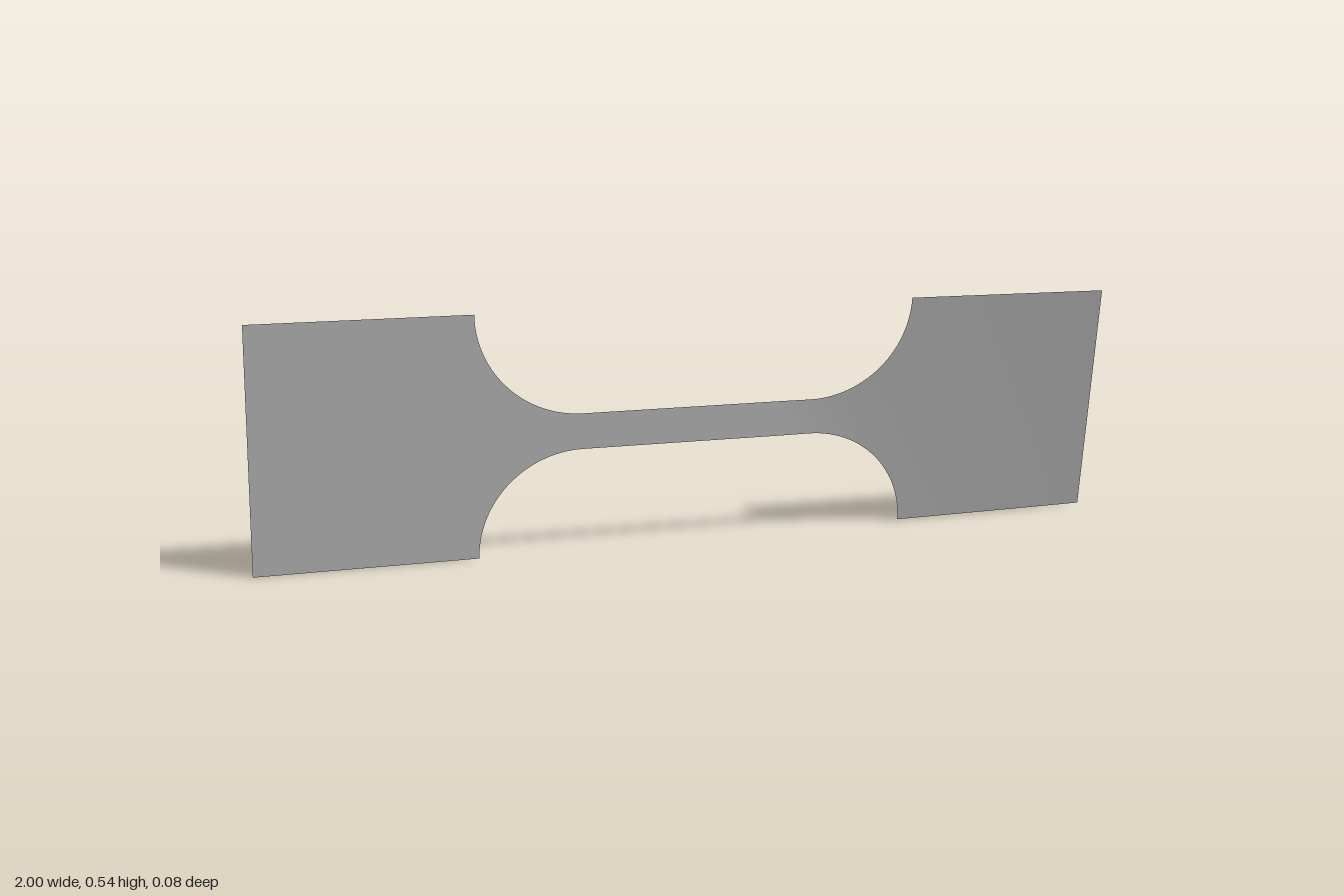
import * as THREE from 'three';

const MID = 0.27;          // height of the long axis
const HALF_WIDE = 0.27;    // half height of the grips
const HALF_NECK = 0.04;    // half height of the neck
const NECK_END = 0.27;     // where the fillets begin
const FILLET = 0.24;       // fillet width
const RISE = HALF_WIDE - HALF_NECK;
const ROWS = 12;

// Twist about the long axis: quick through the left fillet, slow along the grip
function twist(x) {
  if (x < 0.2) return 0;
  if (x < 0.5) return 0.11 * Math.sin(((x - 0.2) / 0.3) * Math.PI / 2);
  return 0.11 + (x - 0.5) * 0.076;
}

// Surface through upright cross-sections given as [x, halfHeight], ordered by x
function sheet(name, sections, material) {
  const geo = new THREE.PlaneGeometry(1, 1, sections.length - 1, ROWS);
  const pos = geo.attributes.position;
  const cols = sections.length;
  for (let i = 0; i < pos.count; i++) {
    const [x, half] = sections[i % cols];
    const v = half * (1 - (2 * Math.floor(i / cols)) / ROWS);
    const a = twist(x);
    pos.setXYZ(i, x, MID + v * Math.cos(a), v * Math.sin(a));
  }
  geo.computeVertexNormals();
  const mesh = new THREE.Mesh(geo, material);
  mesh.name = name;
  return mesh;
}

// Fillet quarter curve followed by the straight grip
function endSections() {
  const list = [];
  for (let i = 0; i <= 28; i++) {
    const t = (i / 28) * Math.PI / 2;
    list.push([NECK_END + FILLET * Math.sin(t), HALF_NECK + RISE * (1 - Math.cos(t))]);
  }
  for (let i = 1; i <= 12; i++) {
    const x0 = NECK_END + FILLET;
    list.push([x0 + (1 - x0) * i / 12, HALF_WIDE]);
  }
  return list;
}

export function createModel() {
  const group = new THREE.Group();
  group.name = 'tensileSpecimen';
  const grey = new THREE.MeshStandardMaterial({ color: 0xb0b0b0, side: THREE.DoubleSide });
  grey.name = 'plain grey';

  // Narrow neck
  const neck = [];
  for (let i = 0; i <= 32; i++) neck.push([-NECK_END + (2 * NECK_END * i) / 32, HALF_NECK]);
  group.add(sheet('neck', neck, grey));

  // Wide grips with their fillets
  const left = endSections();
  const right = left.map(([x, h]) => [-x, h]).reverse();
  group.add(sheet('leftGrip', left, grey));
  group.add(sheet('rightGrip', right, grey));
  return group;
}
